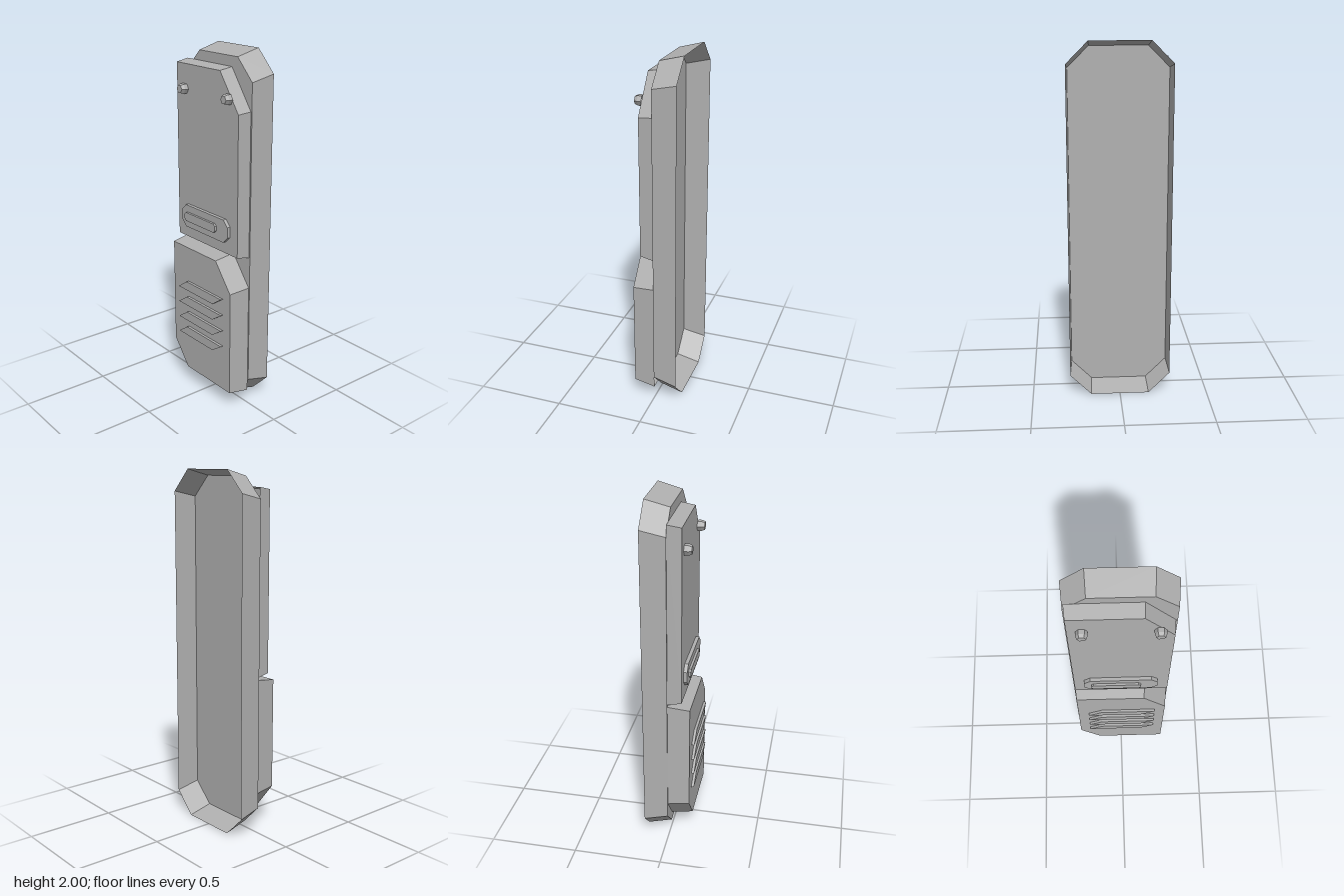
import * as THREE from 'three';

// Tapered convex panel: outline (counter-clockwise) at z0 shrinks by scale about its centre at z1.
function taperedPanel(outline, z0, z1, scale = 1) {
  const mid = (k) => {
    const v = outline.map((p) => p[k]);
    return (Math.min(...v) + Math.max(...v)) / 2;
  };
  const cx = mid(0), cy = mid(1), n = outline.length;
  const back = outline.map(([x, y]) => [x, y, z0]);
  const front = outline.map(([x, y]) => [cx + (x - cx) * scale, cy + (y - cy) * scale, z1]);
  const pos = [];
  for (let i = 0; i < n; i++) {
    const j = (i + 1) % n;
    pos.push(...back[i], ...back[j], ...front[j], ...back[i], ...front[j], ...front[i]);
  }
  for (let i = 1; i < n - 1; i++) pos.push(...front[0], ...front[i], ...front[i + 1]);
  const geo = new THREE.BufferGeometry();
  geo.setAttribute('position', new THREE.Float32BufferAttribute(pos, 3));
  geo.computeVertexNormals();
  return geo;
}

// Rectangle with all four corners cut
function cutRect(x0, x1, y0, y1, cx, cy = cx) {
  return [
    [x0 + cx, y0], [x1 - cx, y0], [x1, y0 + cy], [x1, y1 - cy],
    [x1 - cx, y1], [x0 + cx, y1], [x0, y1 - cy], [x0, y0 + cy],
  ];
}

export function createModel() {
  const group = new THREE.Group();
  const grey = new THREE.MeshStandardMaterial({ color: 0xb0b0b0, side: THREE.DoubleSide });
  grey.name = 'plainGrey';

  const add = (name, geo) => {
    const mesh = new THREE.Mesh(geo, grey);
    mesh.name = name;
    group.add(mesh);
    return mesh;
  };

  // Hollow tray, open at the back
  add('backShell', taperedPanel(cutRect(-0.285, 0.285, 0, 2, 0.12), -0.137, -0.002, 0.965));

  // Upper plate with one cut corner
  add('upperPlate', taperedPanel(
    [[-0.267, 0.9], [0.267, 0.9], [0.267, 1.7], [0.114, 1.91], [-0.267, 1.91]],
    -0.002, 0.075, 0.975));

  // Lower, thicker plate with two opposite cut corners
  add('lowerPlate', taperedPanel(
    [[-0.143, 0.08], [0.268, 0.08], [0.268, 0.72], [0.136, 0.886], [-0.268, 0.886], [-0.268, 0.235]],
    -0.002, 0.12, 0.956));

  // Badge plate and raised bar
  add('badgePlate', taperedPanel(cutRect(-0.205, 0.2, 0.98, 1.11, 0.035), 0.075, 0.095));
  add('badgeBar', taperedPanel(cutRect(-0.165, 0.107, 1.02, 1.07, 0.012), 0.095, 0.108));

  // Hexagonal bolts with a chamfered head
  for (const [name, x] of [['rightBolt', -0.188], ['leftBolt', 0.187]]) {
    const hex = [...Array(6).keys()].map((i) => [
      x + 0.03 * Math.cos((i * Math.PI) / 3), 1.763 + 0.03 * Math.sin((i * Math.PI) / 3),
    ]);
    add(name + 'Shank', taperedPanel(hex, 0.075, 0.097));
    add(name + 'Head', taperedPanel(hex, 0.097, 0.115, 0.76));
  }

  // Slanted vent slats
  for (let i = 0; i < 4; i++) {
    const y = 0.61 - i * 0.0965;
    add('ventSlat' + (i + 1), taperedPanel(
      [[-0.195, y], [0.12, y], [0.197, y + 0.053], [-0.118, y + 0.053]], 0.121, 0.136));
  }
  return group;
}
